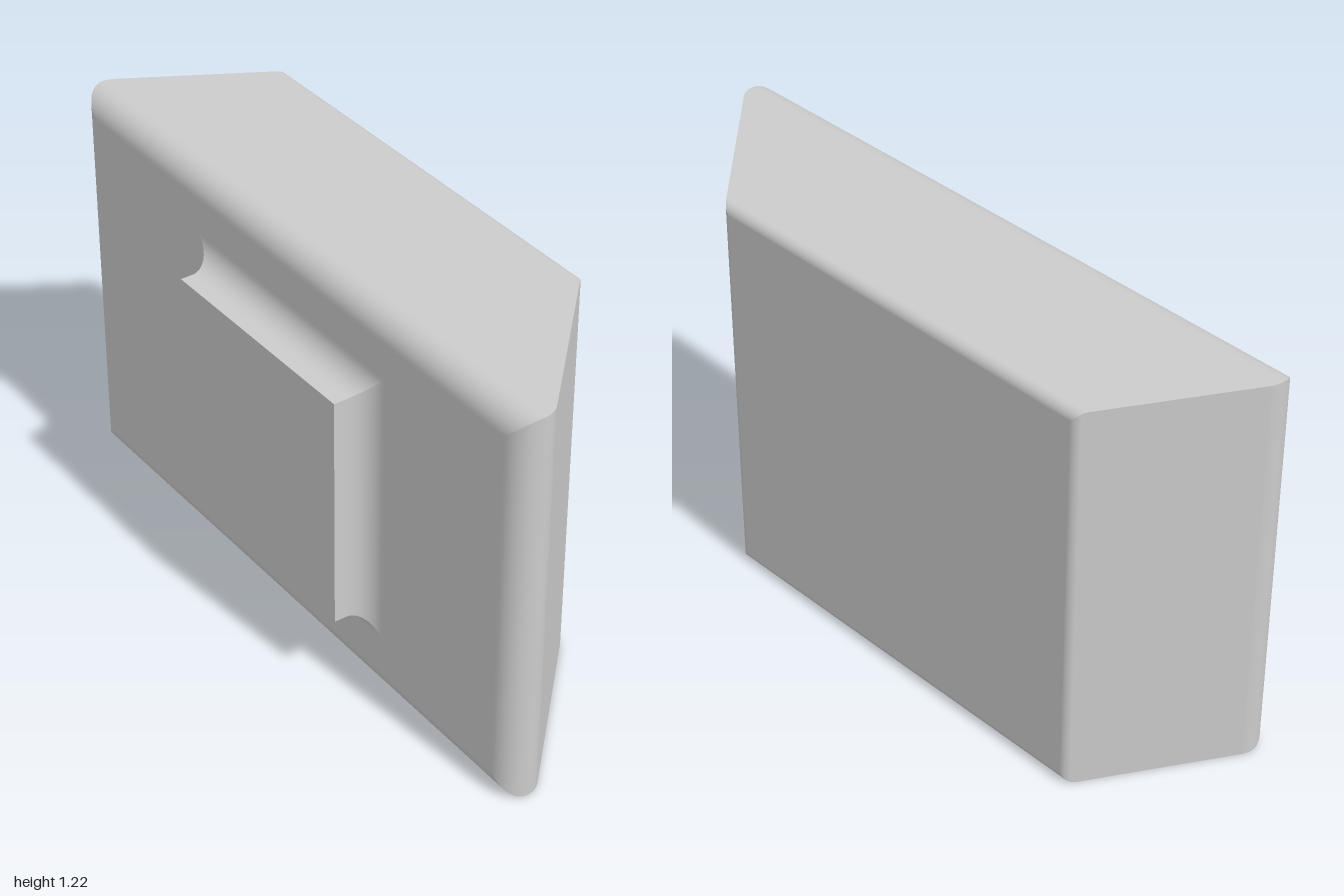
import * as THREE from 'three';

const material = new THREE.MeshStandardMaterial({ color: 0xcccccc });
const rad = THREE.MathUtils.degToRad;

// Body depth range: centres and radii of the front and rear roundings
const front = { z: 0.143, r: 0.07 };
const rear = { z: -0.29, r: 0.03 };
const FACE_Z = front.z + front.r;
const HEIGHT = 1.215;

// Depths along an arc, spaced by angle
function arcDepths({ z, r }, from, to, step = 7.5) {
  const out = [];
  for (let t = from; t <= to + 0.01; t += step) out.push(z + r * Math.sin(rad(t)));
  return out;
}

// Convex side: front arc, plane leaning in by "lean" degrees, rear arc.
// Gives the distance outwards and the normal at depth z.
function roundedSide(reach, lean) {
  const c = Math.cos(rad(lean)), s = Math.sin(rad(lean));
  const frontX = reach - front.r;
  const d = frontX * c - front.z * s + front.r;
  const rearX = (d - rear.r + rear.z * s) / c;
  const arc = (x, { z: cz, r }, z) => {
    const w = Math.sqrt(Math.max(0, r * r - (z - cz) ** 2));
    return { p: x + w, n: w / r, nz: (z - cz) / r };
  };
  return z => {
    if (z >= front.z - front.r * s) return arc(frontX, front, z);
    if (z <= rear.z - rear.r * s) return arc(rearX, rear, z);
    return { p: (d + z * s) / c, n: c, nz: -s };
  };
}

// Straight side that flares out at its foot in a concave arc
function flaredSide(reach, foot) {
  return z => {
    if (z >= foot.z) return { p: reach, n: 1, nz: 0 };
    const w = Math.sqrt(Math.max(0, foot.r ** 2 - (z - foot.z) ** 2));
    return { p: reach + foot.r - w, n: w / foot.r, nz: (foot.z - z) / foot.r };
  };
}

// Stack of rectangles along z; the four sides meet in sharp mitres
function rectLoft(depths, { right, top, left, bottom }, cx, cy, backCap) {
  const pos = [], nor = [], index = [];
  const vertex = (p, n) => {
    pos.push(...p);
    nor.push(...n);
    return pos.length / 3 - 1;
  };
  const corners = z => {
    const r = cx + right(z).p, t = cy + top(z).p;
    const l = cx - left(z).p, b = cy - bottom(z).p;
    return [[r, b, z], [r, t, z], [l, t, z], [l, b, z]];
  };
  const sides = [[right, 1, 0], [top, 0, 1], [left, -1, 0], [bottom, 0, -1]];
  sides.forEach(([side, dx, dy], k) => {
    depths.forEach((z, i) => {
      const ring = corners(z), { n, nz } = side(z);
      const normal = [dx * n, dy * n, nz];
      const a = vertex(ring[k], normal);
      vertex(ring[(k + 1) % 4], normal);
      if (i > 0) index.push(a - 2, a - 1, a + 1, a - 2, a + 1, a);
    });
  });
  const cap = (z, nz) => {
    const [a, b, c, d] = corners(z).map(p => vertex(p, [0, 0, nz]));
    index.push(...(nz > 0 ? [a, b, c, a, c, d] : [a, c, b, a, d, c]));
  };
  cap(depths[depths.length - 1], 1);
  if (backCap) cap(depths[0], -1);

  const geometry = new THREE.BufferGeometry();
  geometry.setAttribute('position', new THREE.Float32BufferAttribute(pos, 3));
  geometry.setAttribute('normal', new THREE.Float32BufferAttribute(nor, 3));
  geometry.setIndex(index);
  return geometry;
}

export function createModel() {
  const group = new THREE.Group();
  group.name = 'roundedBlock';
  const add = (name, geometry) => {
    const mesh = new THREE.Mesh(geometry, material);
    mesh.name = name;
    group.add(mesh);
  };

  // Main block: level top and bottom, ends leaning in by 45 and 30 degrees
  const level = roundedSide(HEIGHT / 2, 0);
  add('body', rectLoft(
    [...arcDepths(rear, -90, 0), ...arcDepths(front, -45, 90)],
    { right: roundedSide(1, 45), top: level, left: roundedSide(1, 30), bottom: level },
    0, HEIGHT / 2, true));

  // Raised square on the front face with a filleted foot
  const foot = { z: FACE_Z + 0.07, r: 0.07 };
  const flare = flaredSide(0.357, foot);
  add('frontBoss', rectLoft(
    [...arcDepths(foot, -90, 0), 0.32],
    { right: flare, top: flare, left: flare, bottom: flare },
    0.025, 0.61, false));

  return group;
}
